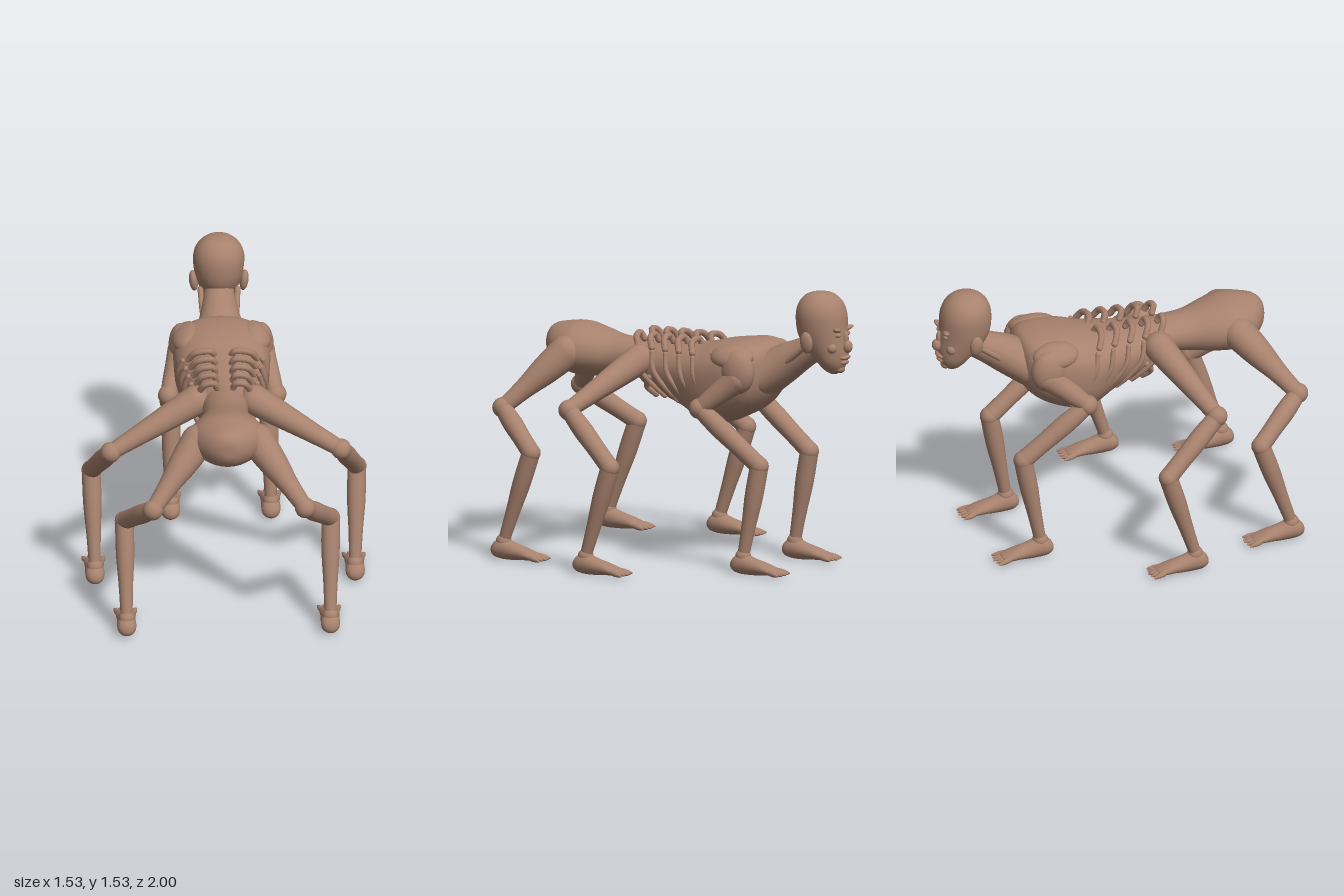
import * as THREE from 'three';

const skin = new THREE.MeshStandardMaterial({ color: 0xa8826e });
skin.name = 'skin';

function add(parent, name, geometry) {
  const mesh = new THREE.Mesh(geometry, skin);
  mesh.name = name;
  parent.add(mesh);
  return mesh;
}

// Closed loft along +z. Rows: [z, half width, bottom, top, roundness, height of widest line 0..1, x offset]
function loft(rows, sides = 28, steps = 4) {
  const full = rows.map(r => [r[0], r[1], r[2], r[3], r[4] ?? 2, r[5] ?? 0.5]);
  const fine = [];
  for (let i = 0; i < full.length - 1; i++) {
    const p = k => full[Math.min(Math.max(k, 0), full.length - 1)];
    for (let s = 0; s < steps; s++) {
      const t = s / steps;
      fine.push(p(i).map((b, c) => {
        const a = p(i - 1)[c], d = p(i + 1)[c], e = p(i + 2)[c];
        return b + 0.5 * t * (d - a + t * (2 * a - 5 * b + 4 * d - e + t * (3 * (b - d) + e - a)));
      }));
    }
  }
  fine.push(full[full.length - 1]);
  const pos = [], index = [];
  for (const [z, w, lo, hi, n, f] of fine) {
    const mid = lo + (hi - lo) * f;
    for (let j = 0; j < sides; j++) {
      const t = j / sides * Math.PI * 2, c = Math.cos(t), s = Math.sin(t);
      const bend = v => Math.sign(v) * Math.pow(Math.abs(v), 2 / n);
      pos.push(w * bend(c), mid + bend(s) * (s > 0 ? hi - mid : mid - lo), z);
    }
  }
  for (let i = 0; i < fine.length - 1; i++) for (let j = 0; j < sides; j++) {
    const a = i * sides + j, b = i * sides + (j + 1) % sides;
    index.push(a, b, a + sides, b, b + sides, a + sides);
  }
  // end caps
  const last = (fine.length - 1) * sides;
  for (let j = 1; j < sides - 1; j++) index.push(0, j + 1, j, last, last + j, last + j + 1);
  const g = new THREE.BufferGeometry();
  g.setAttribute('position', new THREE.Float32BufferAttribute(pos, 3));
  g.setIndex(index);
  g.computeVertexNormals();
  return g;
}

// Tapered limb segment between two points; radii are spaced evenly along it
function bone(parent, name, a, b, radii) {
  const dir = b.clone().sub(a), len = dir.length();
  const profile = radii.map((r, i) => new THREE.Vector2(r, len * i / (radii.length - 1)));
  const curve = new THREE.SplineCurve(profile).getPoints(8);
  const mesh = add(parent, name, new THREE.LatheGeometry(curve, 18));
  mesh.position.copy(a);
  mesh.quaternion.setFromUnitVectors(new THREE.Vector3(0, 1, 0), dir.normalize());
}

function ball(parent, name, p, rx, ry = rx, rz = rx) {
  const mesh = add(parent, name, new THREE.SphereGeometry(1, 18, 12));
  mesh.position.copy(p);
  mesh.scale.set(rx, ry, rz);
  return mesh;
}

function tube(parent, name, points, radius) {
  const curve = new THREE.CatmullRomCurve3(points);
  add(parent, name, new THREE.TubeGeometry(curve, 12, radius, 8));
  ball(parent, name + 'Start', points[0], radius);
  ball(parent, name + 'End', points[points.length - 1], radius);
}

// One leg: hip, knee, hock, ankle, flat foot with splayed toes
function leg(parent, name, side, pts, hipR) {
  const g = new THREE.Group();
  g.name = name;
  parent.add(g);
  const [hip, knee, hock, ankle] = pts.map(p => new THREE.Vector3(p[0] * side, p[1], p[2]));
  ball(g, 'hip', hip, hipR);
  bone(g, 'thigh', hip, knee, [hipR, hipR * 0.85, 0.055, 0.044]);
  ball(g, 'knee', knee, 0.056);
  bone(g, 'shin', knee, hock, [0.045, 0.054, 0.05, 0.05]);
  ball(g, 'hock', hock, 0.052);
  bone(g, 'shank', hock, ankle, [0.05, 0.05, 0.039, 0.032]);
  ball(g, 'ankle', ankle, 0.043, 0.042, 0.043);
  const foot = add(g, 'foot', loft([
    [-0.225, 0.048, 0.02, 0.042], [-0.18, 0.056, 0.012, 0.06], [-0.13, 0.053, 0.008, 0.078],
    [-0.07, 0.05, 0.003, 0.095], [0, 0.052, 0.003, 0.12], [0.04, 0.049, 0.01, 0.105],
    [0.065, 0.03, 0.025, 0.08], [0.073, 0.004, 0.045, 0.055]], 18, 3));
  foot.position.set(ankle.x, 0, ankle.z);
  for (let i = 0; i < 5; i++) {
    const u = i / 2 - 1;
    bone(g, 'toe', new THREE.Vector3(ankle.x + u * 0.04, 0.032, ankle.z - 0.19),
      new THREE.Vector3(ankle.x + u * 0.06, 0.021, ankle.z - 0.27 + 0.012 * Math.abs(u)), [0.016, 0.014, 0.004]);
  }
}

export function createModel() {
  const model = new THREE.Group();
  model.name = 'sixLeggedCreature';
  const v = (x, y, z) => new THREE.Vector3(x, y, z);

  // Rump and narrow waist
  add(model, 'rump', loft([
    [0.1, 0.13, 0.95, 1.17], [0.32, 0.122, 0.98, 1.175], [0.45, 0.13, 0.965, 1.185],
    [0.56, 0.175, 0.95, 1.21], [0.68, 0.21, 0.945, 1.235], [0.78, 0.17, 0.97, 1.227],
    [0.85, 0.11, 1.01, 1.21], [0.885, 0.05, 1.06, 1.17], [0.89, 0.005, 1.1, 1.12]]));

  // Deep rib cage with flattened back
  add(model, 'ribCage', loft([
    [-0.53, 0.07, 1.0, 1.14], [-0.5, 0.17, 0.94, 1.21, 2.3, 0.55], [-0.44, 0.235, 0.87, 1.235, 2.5, 0.6],
    [-0.34, 0.26, 0.81, 1.24, 2.5, 0.62], [-0.22, 0.257, 0.765, 1.225, 2.4, 0.6], [-0.12, 0.24, 0.765, 1.2, 2.3, 0.6],
    [0, 0.21, 0.83, 1.185, 2.2, 0.6], [0.12, 0.185, 0.875, 1.175, 2.1, 0.55],
    [0.24, 0.155, 0.92, 1.17], [0.34, 0.1, 1.0, 1.15]]));

  // Neck
  const neck = add(model, 'neck', loft([
    [0, 0.075, -0.075, 0.075], [0.12, 0.09, -0.085, 0.08], [0.26, 0.12, -0.11, 0.1], [0.4, 0.17, -0.13, 0.1]]));
  neck.position.set(0, 1.255, -0.81);
  neck.rotation.x = 0.5;

  // Head: lofted upward, back of the skull to the brow
  const head = new THREE.Group();
  head.name = 'head';
  model.add(head);
  const skull = loft([
    [1.095, 0.02, 0.87, 0.905], [1.115, 0.05, 0.835, 0.935], [1.16, 0.083, 0.79, 0.958], [1.22, 0.105, 0.73, 0.965],
    [1.28, 0.122, 0.69, 0.96], [1.34, 0.134, 0.672, 0.955], [1.42, 0.138, 0.67, 0.948],
    [1.48, 0.118, 0.688, 0.925], [1.52, 0.078, 0.725, 0.885], [1.535, 0.035, 0.77, 0.845], [1.538, 0.005, 0.8, 0.81]]);
  skull.rotateX(-Math.PI / 2);
  add(head, 'skull', skull);
  ball(head, 'nose', v(0, 1.25, -0.972), 0.027, 0.034, 0.028);
  ball(head, 'noseBridge', v(0, 1.29, -0.958), 0.016, 0.045, 0.02);
  ball(head, 'upperLip', v(0, 1.19, -0.955), 0.045, 0.014, 0.024);
  ball(head, 'lowerLip', v(0, 1.163, -0.95), 0.038, 0.013, 0.022);
  ball(head, 'chin', v(0, 1.125, -0.925), 0.035, 0.024, 0.025);
  for (const s of [1, -1]) {
    const ear = ball(head, 'ear', v(0.136 * s, 1.275, -0.795), 0.024, 0.06, 0.037);
    ear.rotation.z = -0.12 * s;
    ball(head, 'eye', v(0.05 * s, 1.315, -0.938), 0.018, 0.014, 0.018);
    const brow = ball(head, 'brow', v(0.053 * s, 1.342, -0.938), 0.042, 0.013, 0.02);
    brow.rotation.set(0, 0.3 * s, 0.2 * s);
    ball(head, 'cheek', v(0.068 * s, 1.245, -0.915), 0.032, 0.03, 0.028);
  }

  for (const s of [1, -1]) {
    // Shoulder blade and neck cord
    const blade = ball(model, 'shoulderBlade', v(0.19 * s, 1.165, -0.36), 0.085, 0.055, 0.13);
    blade.rotation.z = -0.5 * s;
    ball(model, 'shoulderMuscle', v(0.215 * s, 1.09, -0.41), 0.068, 0.12, 0.1);
    tube(model, 'neckCord', [v(0.05 * s, 1.06, -0.53), v(0.085 * s, 1.13, -0.62), v(0.1 * s, 1.24, -0.76)], 0.016);

    // Raised vertebra spurs running down into the ribs
    for (let i = 0; i < 5; i++) {
      const z = 0.29 - i * 0.092, w = 0.135 + i * 0.012;
      tube(model, 'spur', [v(0.045 * s, 1.185, z - 0.015), v(0.06 * s, 1.218, z),
        v(w * 0.8 * s, 1.208, z - 0.005), v(w * s, 1.16, z - 0.03)], 0.018);
      const k = 0.2 + i * 0.0125;
      tube(model, 'rib', [v((k - 0.035) * s, 1.14, z - 0.05), v((k - 0.012) * s, 1.05, z - 0.07),
        v((k - 0.032) * s, 0.97 - i * 0.01, z - 0.13), v((k - 0.075) * s, 0.9 - i * 0.015, z - 0.19)], 0.014);
    }
    // Loose lowest rib
    tube(model, 'floatingRib', [v(0.165 * s, 1.0, 0.17), v(0.14 * s, 0.945, 0.2), v(0.1 * s, 0.9, 0.17)], 0.018);

    leg(model, 'frontLeg', s, [[0.215, 1.05, -0.41], [0.29, 0.885, -0.215], [0.262, 0.6, -0.575], [0.27, 0.1, -0.48]], 0.075);
    leg(model, 'middleLeg', s, [[0.16, 1.09, 0.24], [0.62, 0.87, 0.405], [0.715, 0.6, 0.09], [0.7, 0.1, 0.25]], 0.082);
    leg(model, 'hindLeg', s, [[0.16, 1.085, 0.7], [0.41, 0.8, 0.945], [0.555, 0.6, 0.68], [0.548, 0.1, 0.855]], 0.092);
  }
  return model;
}
